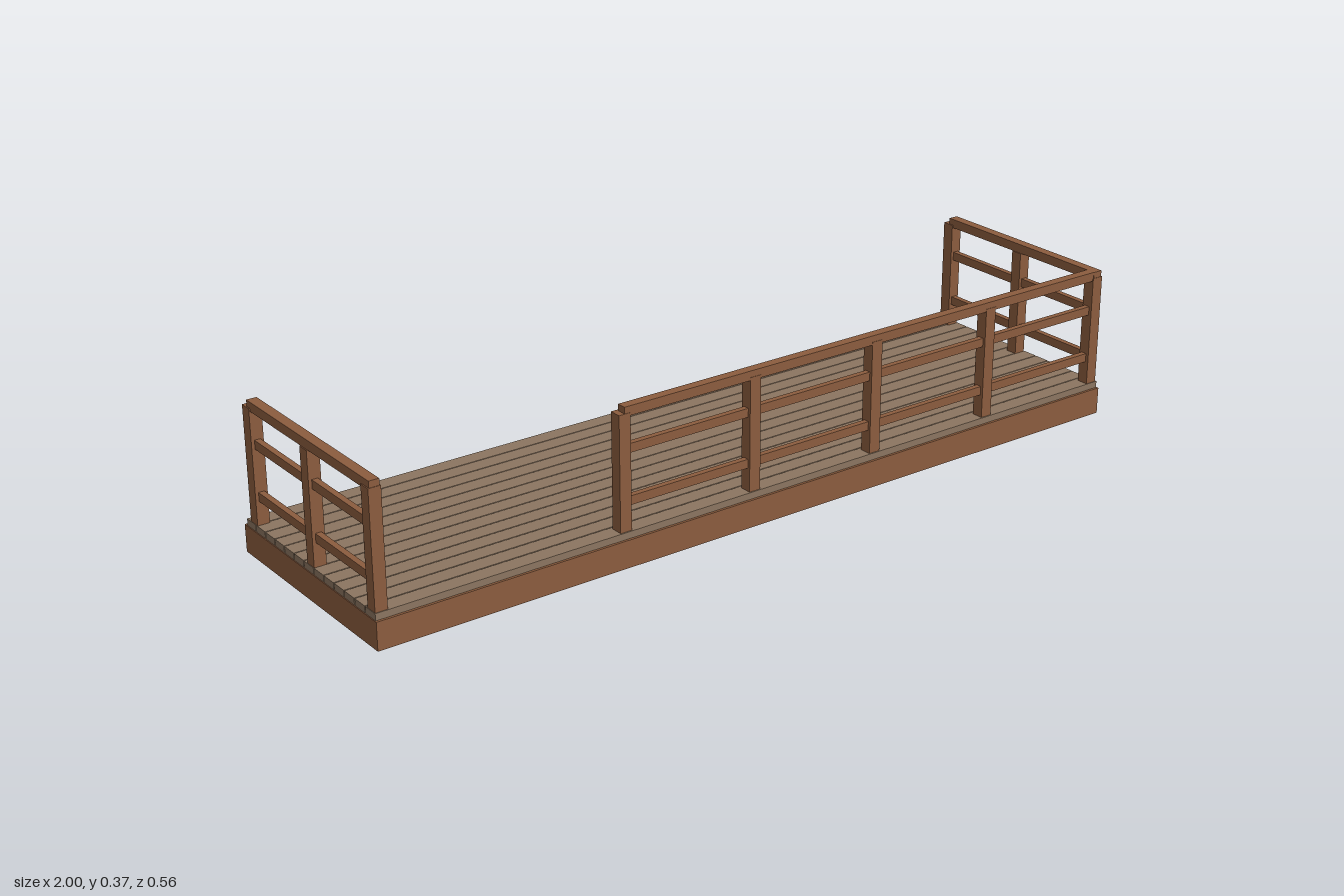
import * as THREE from 'three';

export function createModel() {
  const model = new THREE.Group();
  model.name = 'railedDeck';
  const wood = new THREE.MeshStandardMaterial({ color: 0x8b5c3e });
  wood.name = 'brown wood';
  const plankWood = new THREE.MeshStandardMaterial({ color: 0x8b7560 });
  plankWood.name = 'weathered plank';

  // box given by its min and max on each axis
  function box(parent, name, [x0, x1], [y0, y1], [z0, z1], material = wood) {
    const mesh = new THREE.Mesh(new THREE.BoxGeometry(x1 - x0, y1 - y0, z1 - z0), material);
    mesh.position.set((x0 + x1) / 2, (y0 + y1) / 2, (z0 + z1) / 2);
    mesh.name = name;
    parent.add(mesh);
  }
  function group(name) {
    const g = new THREE.Group();
    g.name = name;
    model.add(g);
    return g;
  }

  // hollow skirt around the deck
  const skirt = group('skirt');
  for (const s of [-1, 1]) {
    const z = s * 0.2745, x = s * 0.996;
    box(skirt, 'longFascia', [-1, 1], [0, 0.065], [z - 0.0035, z + 0.0035]);
    box(skirt, 'endFascia', [x - 0.004, x + 0.004], [0, 0.065], [-0.271, 0.271]);
  }

  // deck planks running lengthwise
  const deck = group('deck');
  const pitch = 0.0418;
  for (let i = 0; i < 13; i++) {
    const z = 0.272 - i * pitch;
    box(deck, 'plank', [-0.998, 0.998], [0.065, 0.081], [z - 0.0392, z], plankWood);
  }

  const midRails = [[0.136, 0.157], [0.256, 0.277]];

  // railings at both ends
  for (const [name, x0, x1] of [['rightEndRailing', -0.997, -0.968], ['leftEndRailing', 0.966, 0.995]]) {
    const g = group(name);
    const xc = (x0 + x1) / 2;
    box(g, 'frontPost', [x0, x1], [0.081, 0.35], [0.241, 0.27]);
    box(g, 'middlePost', [x0, x1], [0.081, 0.343], [-0.005, 0.024]);
    box(g, 'backPost', [x0, x1], [0.081, 0.35], [-0.252, -0.222]);
    box(g, 'topRail', [xc - 0.012, xc + 0.012], [0.343, 0.365], [-0.236, 0.269]);
    for (const y of midRails) box(g, 'midRail', [xc - 0.007, xc + 0.007], y, [-0.23, 0.25]);
  }

  // front railing, sharing its last post with the left end
  const front = group('frontRailing');
  for (let i = 0; i < 4; i++) {
    const x = -0.392 + i * 0.343;
    box(front, 'post', [x - 0.0145, x + 0.0145], [0.081, 0.35], [0.24, 0.269]);
  }
  box(front, 'topRail', [-0.392, 0.992], [0.343, 0.365], [0.245, 0.268]);
  for (const y of midRails) box(front, 'midRail', [-0.385, 0.975], y, [0.248, 0.262]);

  return model;
}
